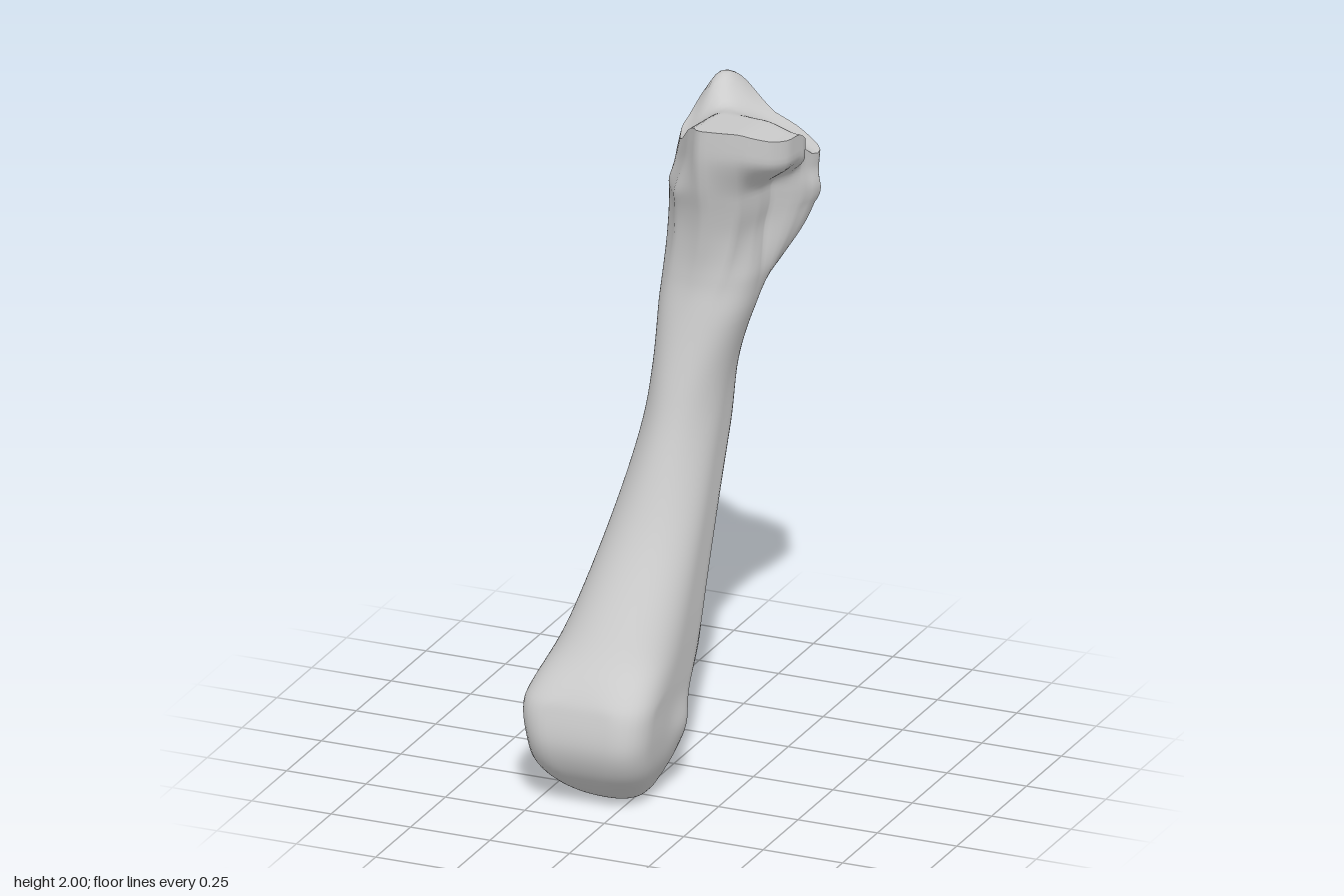
import * as THREE from 'three';

const SEG = 72, SUB = 6, CAP = 12;
const smooth = (a, b, v) => THREE.MathUtils.smoothstep(v, a, b);
const { lerp, clamp } = THREE.MathUtils;

// Slices up the bone: height, x range, z range, squareness
const SLICES = [
  [0.00, -0.07, -0.06, 0.26, 0.28, 2],
  [0.012, -0.15, 0.02, 0.19, 0.34, 2.2],
  [0.05, -0.23, 0.05, 0.14, 0.39, 2.6],
  [0.12, -0.275, 0.078, 0.10, 0.445, 3.3],
  [0.20, -0.29, 0.09, 0.08, 0.47, 3.7],
  [0.29, -0.307, 0.094, 0.045, 0.457, 3.8],
  [0.36, -0.295, 0.097, 0.015, 0.425, 3.5],
  [0.50, -0.245, 0.10, -0.035, 0.32, 2.8],
  [0.75, -0.183, 0.10, -0.125, 0.16, 2.6],
  [1.00, -0.135, 0.10, -0.235, 0.05, 2.4],
  [1.20, -0.115, 0.115, -0.285, -0.01, 2.3],
  [1.40, -0.115, 0.172, -0.325, -0.06, 2.3],
  [1.50, -0.118, 0.22, -0.35, -0.07, 2.3],
  [1.60, -0.12, 0.265, -0.39, -0.062, 2.3],
  [1.70, -0.12, 0.295, -0.42, -0.045, 2.3],
  [1.80, -0.118, 0.303, -0.43, -0.02, 2.3],
  [1.90, -0.112, 0.303, -0.455, -0.004, 2.3],
  [2.00, -0.10, 0.303, -0.465, 0, 2.3],
];

// Outlines of the upper end, relative to the slice box
const NECK = [[.5, .3], [.35, .75], [-.1, 1], [-.6, .75], [-.95, .1], [-1, -.3], [-.75, -.9],
  [-.35, -1], [.2, -.92], [.8, -.95], [1, -.7], [.85, -.3], [.55, 0]];
const HEAD = [[1, .43], [.86, .65], [.62, .83], [.2, .94], [-.14, 1], [-.43, .7], [-.9, .04], [-1, -.22],
  [-.86, -.74], [-.43, -1.02], [-.14, -.93], [.14, -.83], [.8, -.84], [.93, -.72], [.84, -.27], [1, -.09]];

// Radius of a straight-sided outline as a function of angle
function polar(points) {
  const turn = 2 * Math.PI;
  const p = points.map(([u, v]) => [(Math.atan2(v, u) + turn) % turn, Math.hypot(u, v)])
    .sort((a, b) => a[0] - b[0]);
  const first = p[0], last = p[p.length - 1];
  p.unshift([last[0] - turn, last[1]]);
  p.push([first[0] + turn, first[1]]);
  return (angle) => {
    let i = 1;
    while (i < p.length - 1 && p[i][0] < angle) i++;
    const [[a, ra], [b, rb]] = [p[i - 1], p[i]];
    return ra * rb * Math.sin(b - a) / (ra * Math.sin(angle - a) + rb * Math.sin(b - angle));
  };
}
const neckRadius = polar(NECK), headRadius = polar(HEAD);

// Smooth interpolation between slices
function sliceAt(t) {
  const last = SLICES.length - 1, i = Math.min(Math.floor(t), last - 1), f = t - i;
  const row = (k) => SLICES[Math.max(0, Math.min(last, k))];
  const [a, b, c, d] = [row(i - 1), row(i), row(i + 1), row(i + 2)];
  return b.map((v, k) => v + 0.5 * f * (c[k] - a[k] +
    f * (2 * a[k] - 5 * v + 4 * c[k] - d[k] + f * (3 * (v - c[k]) + d[k] - a[k]))));
}

// Height of the upper joint surface: plateau, slope to the rear corner, rear horn
function topHeight(x, z) {
  const back = smooth(0.2, 0.38, -z);
  const corner = 0.115 * back * clamp(x / 0.28, 0, 1) + 0.025 * smooth(0.18, 0.3, x);
  const side = 0.11 * smooth(-0.06, 0.1, -x) * (1 - back) + 0.05 * smooth(0.03, 0.1, -x) * back;
  const horn = Math.exp(-((x + 0.02) ** 2 / 0.006 + (z + 0.41) ** 2 / 0.006));
  return 1.98 + 0.12 * Math.max(z, -0.3) - corner - side + 0.056 * horn;
}

// Small tubercles on both sides of the lower end: centre, size, outward push
const TUBERCLES = [[0.09, 0.2, 0.16, 0.06, 0.014], [-0.28, 0.23, 0.16, 0.05, 0.008]];

// The shaft is sharp-edged behind and rounder in front; the knuckle is square in front
function cornerFactor(c, s, y) {
  const knuckle = 1 - smooth(0.28, 0.45, y), shaft = (1 - knuckle) * (1 - smooth(1, 1.35, y));
  const diagonal = (2 * c * s) ** 2;
  const onShaft = s < 0 ? 0.13 : -0.07;
  const onKnuckle = s > 0 ? 0.04 : c > 0 ? 0.07 : -0.06;
  return 1 + diagonal * (shaft * onShaft + knuckle * onKnuckle);
}

function ring(t) {
  const [y, x0, x1, z0, z1, n] = sliceAt(t);
  const neck = smooth(1.36, 1.65, y), head = smooth(1.76, 1.92, y);
  const points = [];
  for (let j = 0; j < SEG; j++) {
    const a = (j / SEG) * 2 * Math.PI, c = Math.cos(a), s = Math.sin(a);
    let r = (Math.abs(c) ** n + Math.abs(s) ** n) ** (-1 / n) * cornerFactor(c, s, y);
    r = Math.min(r, 1 / Math.max(Math.abs(c), Math.abs(s)));
    r = lerp(lerp(r, neckRadius(a), neck), headRadius(a), head);
    const p = new THREE.Vector3((x0 + x1) / 2 + (x1 - x0) / 2 * r * c, y,
      (z0 + z1) / 2 + (z1 - z0) / 2 * r * s);
    for (const [bx, by, bz, size, push] of TUBERCLES) {
      const d2 = (p.x - bx) ** 2 + (p.y - by) ** 2 + (p.z - bz) ** 2;
      p.x += Math.sign(c) * push * Math.exp(-d2 / (size * size));
    }
    // Fit the upper end under the joint surface
    if (y > 1.66) p.y = lerp(1.66, topHeight(p.x, p.z), (y - 1.66) / 0.34);
    points.push(p);
  }
  return points;
}

// Skin a stack of closed rings
function loft(rings) {
  const index = [];
  for (let i = 0; i < rings.length - 1; i++) {
    for (let j = 0; j < SEG; j++) {
      const k = (j + 1) % SEG;
      const a = i * SEG + j, b = a + SEG, c = i * SEG + k, d = c + SEG;
      index.push(a, b, c, c, b, d);
    }
  }
  const geometry = new THREE.BufferGeometry().setFromPoints(rings.flat());
  geometry.setIndex(index);
  geometry.computeVertexNormals();
  return geometry;
}

export function createModel() {
  const group = new THREE.Group();
  const material = new THREE.MeshStandardMaterial({ color: 0xcccccc });
  const add = (name, rings) => {
    const mesh = new THREE.Mesh(loft(rings), material);
    mesh.name = name;
    group.add(mesh);
  };

  // Lower knuckle, shaft and flared upper end in one skin
  const steps = (SLICES.length - 1) * SUB;
  const body = Array.from({ length: steps + 1 }, (_, i) => ring(i / SUB));
  add('boneShaft', body);

  // Upper joint surface, shrinking the rim towards its middle
  const rim = body[steps];
  add('upperJointSurface', Array.from({ length: CAP + 1 }, (_, i) => rim.map((p) => {
    const x = lerp(p.x, 0.1, i / CAP), z = lerp(p.z, -0.23, i / CAP);
    return new THREE.Vector3(x, topHeight(x, z), z);
  })));

  // Underside of the lower knuckle
  const base = body[0], middle = new THREE.Vector3(-0.065, 0, 0.27);
  add('lowerJointTip', [base.map(() => middle), base]);
  return group;
}
